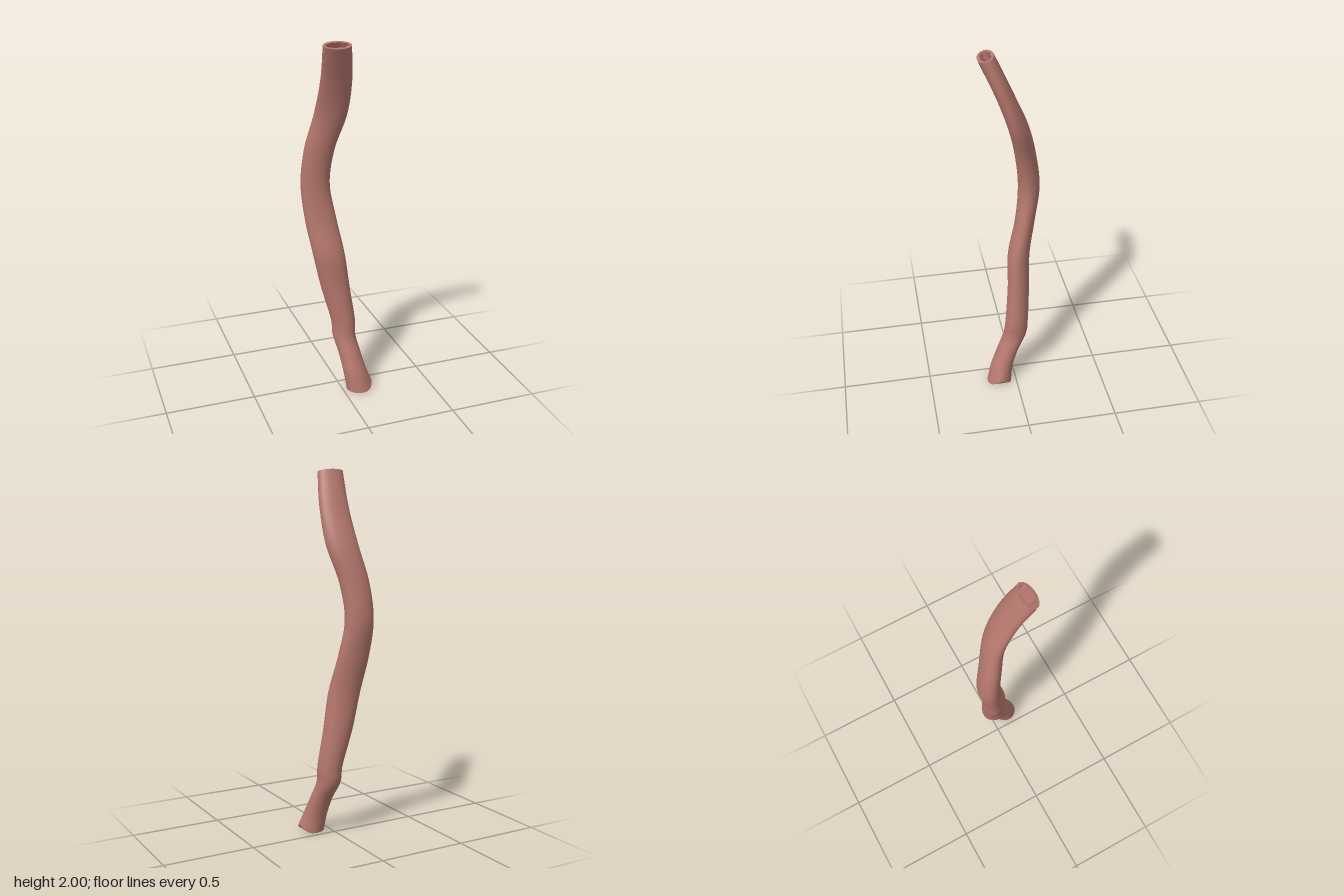
import * as THREE from 'three';

// Level sections: height, min x, max x, min z, max z, skew (x-z correlation of the ellipse)
const SECTIONS = [
  [0.0, 0.025, 0.17, 0.028, 0.167, 0],
  [0.1, 0.012, 0.146, 0.014, 0.141, 0],
  [0.2, -0.002, 0.124, -0.022, 0.1, 0],
  [0.3, -0.022, 0.106, -0.074, 0.06, 0.05],
  [0.4, -0.029, 0.105, -0.084, 0.047, 0.1],
  [0.6, -0.08, 0.077, -0.098, 0.028, 0.2],
  [0.8, -0.122, 0.05, -0.106, 0.021, 0.22],
  [1.0, -0.155, 0.016, -0.139, -0.026, 0.2],
  [1.2, -0.17, -0.012, -0.167, -0.047, 0.12],
  [1.4, -0.153, 0.008, -0.143, -0.026, 0.2],
  [1.6, -0.112, 0.06, -0.091, 0.021, 0.28],
  [1.8, -0.103, 0.061, -0.005, 0.09, 0.15],
  [1.987, -0.12, 0.03, 0.085, 0.168, 0],
];
const RINGS = 120, SIDES = 64;

const centres = new THREE.CatmullRomCurve3(
  SECTIONS.map(([y, x0, x1, z0, z1]) => new THREE.Vector3((x0 + x1) / 2, y, (z0 + z1) / 2)), false, 'catmullrom');
const radii = new THREE.CatmullRomCurve3(
  SECTIONS.map(([, x0, x1, z0, z1, k]) => new THREE.Vector3((x1 - x0) / 2, (z1 - z0) / 2, k)), false, 'catmullrom');

// Point on the outer wall, or on the fluted inner wall
function wallPoint(t, angle, inner) {
  const c = centres.getPoint(t), r = radii.getPoint(t);
  const inset = inner ? 0.011 + 0.004 * t + 0.0025 * Math.cos(8 * angle) : 0;
  const a = r.x - inset, b = r.y - inset;
  const dx = a * Math.cos(angle);
  const dz = b * (r.z * Math.cos(angle) + Math.sqrt(1 - r.z * r.z) * Math.sin(angle));
  // Slanted cut at the top, upturned lip on the left side of the foot
  const topCut = -0.31 * dz * THREE.MathUtils.smoothstep(t, 0.88, 1);
  const footLip = 0.036 * Math.pow(Math.max(0, dx / 0.072), 4) * (1 - THREE.MathUtils.smoothstep(t, 0, 0.12));
  return [c.x + dx, c.y + topCut + footLip, c.z + dz];
}

// Grid surface closed around its ring; normals are shared across the seam
function ringSurface(rows, pointAt, flip) {
  const positions = [], index = [];
  for (let i = 0; i <= rows; i++)
    for (let j = 0; j < SIDES; j++) positions.push(...pointAt(i, (j / SIDES) * Math.PI * 2));
  for (let i = 0; i < rows; i++)
    for (let j = 0; j < SIDES; j++) {
      const k = (j + 1) % SIDES;
      const a = i * SIDES + j, b = i * SIDES + k, c = a + SIDES, d = b + SIDES;
      if (flip) index.push(a, b, c, b, d, c);
      else index.push(a, c, b, b, c, d);
    }
  const geometry = new THREE.BufferGeometry();
  geometry.setAttribute('position', new THREE.Float32BufferAttribute(positions, 3));
  geometry.setIndex(index);
  geometry.computeVertexNormals();
  return geometry;
}

export function createModel() {
  const group = new THREE.Group();
  group.name = 'curvedVessel';
  const flesh = new THREE.MeshStandardMaterial({ color: 0xb4776d });
  flesh.name = 'dusty pink';
  const add = (name, geometry) => {
    const mesh = new THREE.Mesh(geometry, flesh);
    mesh.name = name;
    group.add(mesh);
  };

  // Long walls
  add('outerWall', ringSurface(RINGS, (i, a) => wallPoint(i / RINGS, a, false), false));
  add('innerWall', ringSurface(RINGS, (i, a) => wallPoint(i / RINGS, a, true), true));
  // Rims joining the walls at both ends
  add('topRim', ringSurface(1, (i, a) => wallPoint(1, a, i === 1), false));
  add('bottomRim', ringSurface(1, (i, a) => wallPoint(0, a, i === 1), true));
  return group;
}
